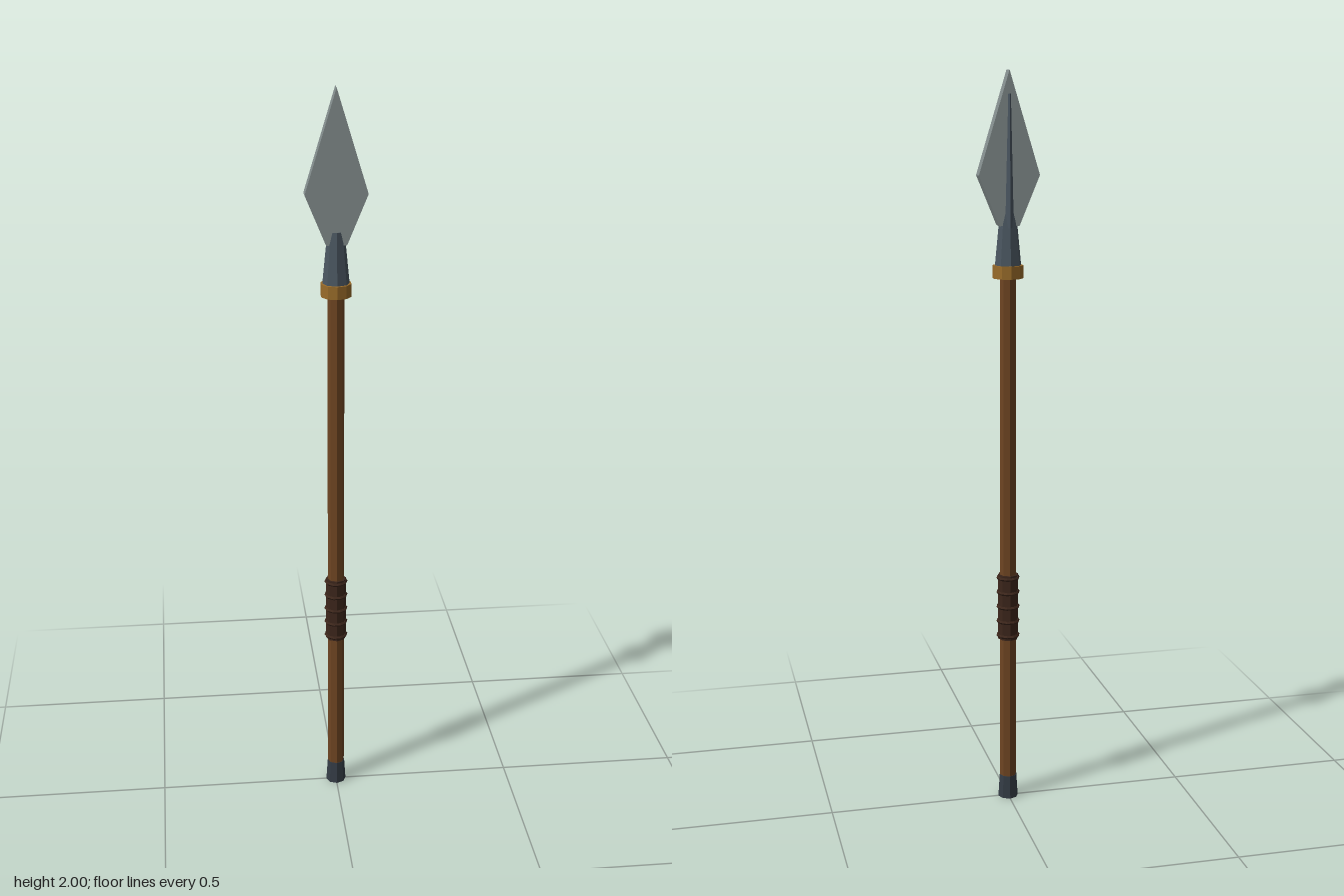
import * as THREE from 'three';

const mat = (color) => new THREE.MeshStandardMaterial({ color, flatShading: true });

export function createModel() {
  const spear = new THREE.Group();
  const wood = mat(0x6e4522), steel = mat(0x858f8f), darkSteel = mat(0x4a5660);
  const brass = mat(0x9a6c2a), leather = mat(0x3c261b), iron = mat(0x343c45);

  const add = (name, geometry, material) => {
    const mesh = new THREE.Mesh(geometry, material);
    mesh.name = name;
    spear.add(mesh);
    return mesh;
  };
  // Upright tapered cylinder between two heights
  const column = (name, y0, y1, r0, r1, sides, material) => {
    const mesh = add(name, new THREE.CylinderGeometry(r1, r0, y1 - y0, sides), material);
    mesh.position.y = (y0 + y1) / 2;
    return mesh;
  };

  // Shaft and butt cap
  column('shaft', 0.03, 1.52, 0.023, 0.022, 8, wood);
  column('buttCap', 0, 0.065, 0.028, 0.024, 8, iron);

  // Leather grip with raised bands
  column('grip', 0.47, 0.655, 0.028, 0.028, 8, leather);
  for (let i = 0; i < 5; i++) {
    const band = add('gripBand', new THREE.TorusGeometry(0.0275, 0.005, 5, 10), leather);
    band.rotation.x = Math.PI / 2;
    band.position.y = 0.48 + i * 0.0415;
  }

  // Collar and socket
  column('collar', 1.468, 1.502, 0.041, 0.041, 10, brass);
  column('socket', 1.495, 1.638, 0.036, 0.022, 8, darkSteel);

  // Flat blade
  const outline = new THREE.Shape([
    [0, 2], [-0.081, 1.735], [-0.027, 1.605], [0.027, 1.605], [0.081, 1.735],
  ].map(([x, y]) => new THREE.Vector2(x, y)));
  const blade = new THREE.ExtrudeGeometry(outline, { depth: 0.035, bevelEnabled: false });
  blade.translate(0, 0, -0.0175);
  add('blade', blade, steel);

  // Slim tapered rib along the back of the blade
  const rib = column('bladeRib', 1.6, 1.94, 0.012, 0.004, 4, darkSteel);
  rib.position.z = -0.017;

  return spear;
}
